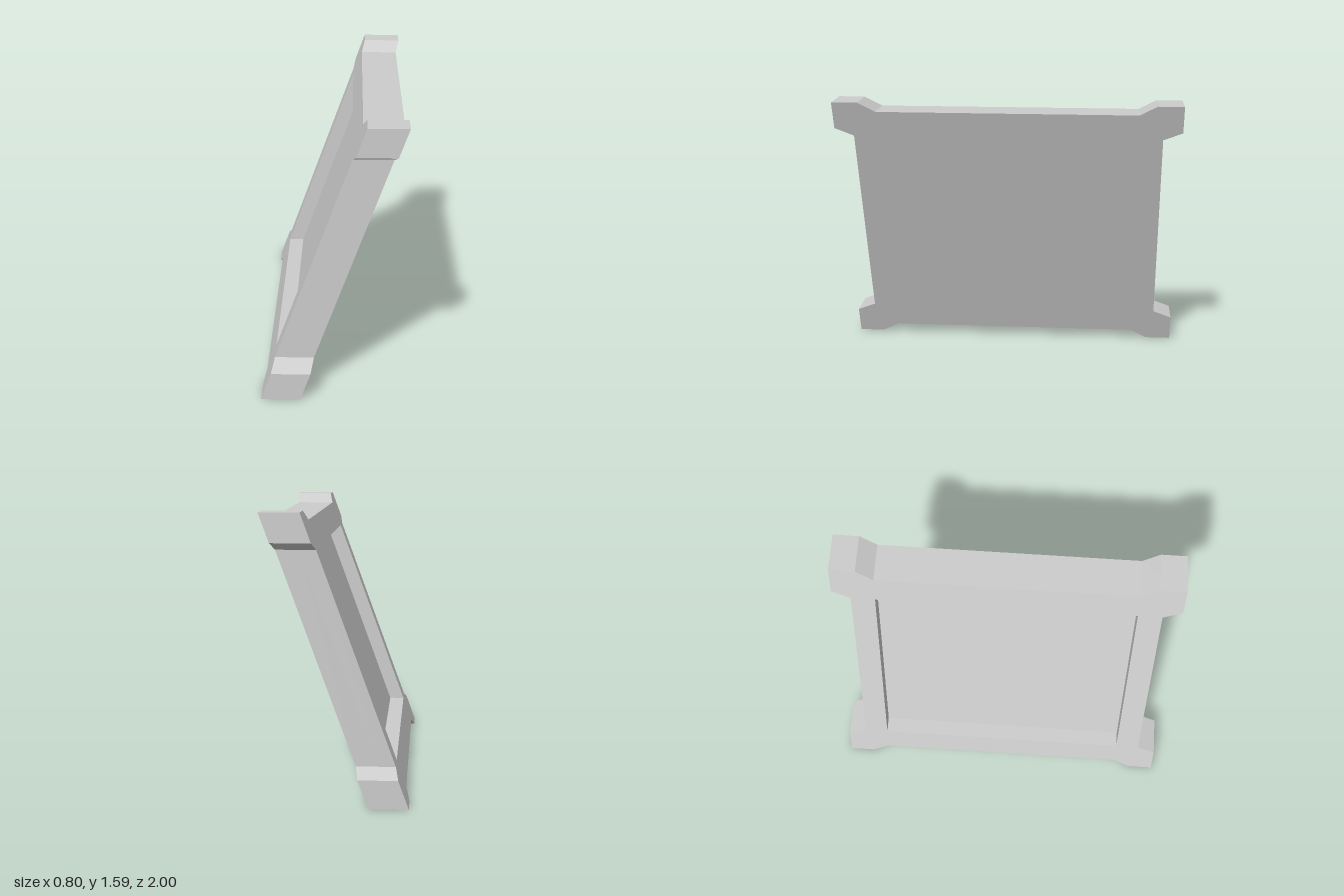
import * as THREE from 'three';

const HEIGHT = 1.594, MID = HEIGHT / 2;
const LEAN = 0.364;   // sideways shift per unit of height

// One corner of the outline as [z, distance from mid height]; mirrored to all four
const CORNER = [[0.89, 0.592], [1, 0.637], [1, MID], [0.85, MID], [0.75, 0.742]];

function outline() {
  const points = [];
  for (const [sz, sy] of [[1, 1], [-1, 1], [-1, -1], [1, -1]]) {
    const corner = CORNER.map(([z, y]) => new THREE.Vector2(sz * z, MID + sy * y));
    if (sz * sy < 0) corner.reverse();
    points.push(...corner);
  }
  return new THREE.Shape(points);
}

// Extrude a z/y shape toward -x starting at x, then lean it over
function leaningSlab(shape, x, depth) {
  const geometry = new THREE.ExtrudeGeometry(shape, { depth, bevelEnabled: false });
  geometry.rotateY(-Math.PI / 2).translate(x, 0, 0);
  const pos = geometry.attributes.position;
  for (let i = 0; i < pos.count; i++) pos.setX(i, pos.getX(i) + LEAN * pos.getY(i));
  geometry.computeVertexNormals();
  return geometry;
}

export function createModel() {
  const group = new THREE.Group();
  const material = new THREE.MeshStandardMaterial({ color: 0xcccccc, flatShading: true });
  const add = (name, geometry) => {
    const mesh = new THREE.Mesh(geometry, material);
    mesh.name = name;
    group.add(mesh);
  };

  // Solid backing panel with flared corner feet
  add('backPanel', leaningSlab(outline(), -0.18, 0.13));

  // Raised frame around the rectangular recess
  const frame = outline();
  const w = 0.75, h = 0.592;
  frame.holes.push(new THREE.Path([[-w, -h], [-w, h], [w, h], [w, -h]]
    .map(([z, y]) => new THREE.Vector2(z, MID + y))));
  add('frame', leaningSlab(frame, -0.31, 0.09));

  return group;
}
